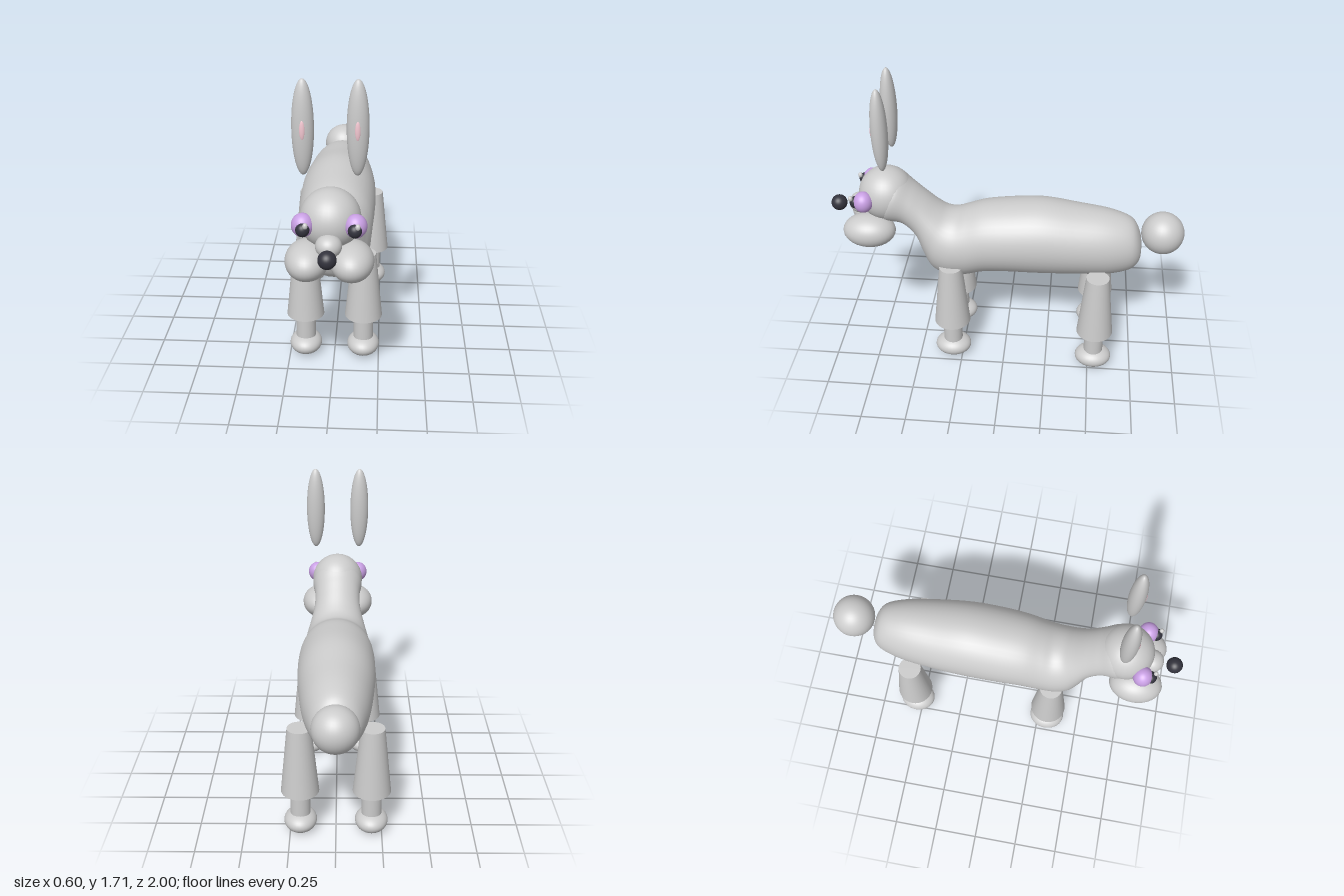
import * as THREE from 'three';

const mat = (color) => new THREE.MeshStandardMaterial({ color });
const grey = mat(0xcccccc);
const purple = mat(0xc9a0e4);
const black = mat(0x33333d);
const pink = mat(0xf4c8d2);

function add(parent, name, geometry, material, x, y, z) {
  const mesh = new THREE.Mesh(geometry, material);
  mesh.name = name;
  mesh.position.set(x, y, z);
  parent.add(mesh);
  return mesh;
}

function ellipsoid(parent, name, material, [x, y, z], [rx, ry, rz]) {
  const geometry = new THREE.SphereGeometry(1, 32, 24).scale(rx, ry, rz);
  return add(parent, name, geometry, material, x, y, z);
}

// Skin through elliptical sections: [topZ, topY, bottomZ, bottomY, halfWidth]
function loft(sections, steps, sides) {
  const top = new THREE.CatmullRomCurve3(sections.map((s) => new THREE.Vector3(s[4], s[1], s[0])));
  const bottom = new THREE.CatmullRomCurve3(sections.map((s) => new THREE.Vector3(0, s[3], s[2])));
  const positions = [];
  const index = [];
  for (let i = 0; i <= steps; i++) {
    const t = top.getPoint(i / steps);
    const b = bottom.getPoint(i / steps);
    for (let j = 0; j < sides; j++) {
      const a = (j / sides) * Math.PI * 2;
      const k = (1 + Math.cos(a)) / 2;
      positions.push(t.x * Math.sin(a), b.y + (t.y - b.y) * k, b.z + (t.z - b.z) * k);
      if (i === steps) continue;
      const p = i * sides + j;
      const q = i * sides + ((j + 1) % sides);
      index.push(p, p + sides, q, q, p + sides, q + sides);
    }
  }
  const geometry = new THREE.BufferGeometry();
  geometry.setAttribute('position', new THREE.Float32BufferAttribute(positions, 3));
  geometry.setIndex(index);
  geometry.computeVertexNormals();
  return geometry;
}

function makeLeg(name, x, z) {
  const leg = new THREE.Group();
  leg.name = name;
  leg.position.set(x, 0, z);
  add(leg, 'thigh', new THREE.CylinderGeometry(0.065, 0.104, 0.385, 32), grey, 0, 0.4425, 0);
  add(leg, 'shin', new THREE.CylinderGeometry(0.055, 0.055, 0.22, 32), grey, 0, 0.18, 0);
  ellipsoid(leg, 'foot', grey, [0, 0.061, 0], [0.09, 0.059, 0.105]);
  return leg;
}

export function createModel() {
  const model = new THREE.Group();
  model.name = 'longEaredAnimal';

  // Body, chest and neck in one smooth skin, ending inside the head
  const bodySections = [
    [-0.77, 0.735, -0.77, 0.73, 0.003],
    [-0.755, 0.82, -0.76, 0.65, 0.08],
    [-0.71, 0.9, -0.72, 0.6, 0.13],
    [-0.6, 0.945, -0.6, 0.565, 0.17],
    [-0.4, 0.975, -0.4, 0.56, 0.2],
    [-0.2, 1.0, -0.2, 0.555, 0.215],
    [0, 0.985, 0, 0.555, 0.215],
    [0.13, 0.965, 0.12, 0.545, 0.208],
    [0.22, 0.935, 0.25, 0.51, 0.2],
    [0.28, 0.915, 0.36, 0.515, 0.195],
    [0.33, 0.92, 0.43, 0.56, 0.185],
    [0.38, 0.95, 0.475, 0.65, 0.165],
    [0.46, 1.02, 0.515, 0.76, 0.14],
    [0.525, 1.08, 0.59, 0.84, 0.137],
    [0.595, 1.14, 0.7, 0.865, 0.149],
    [0.65, 1.1, 0.7, 0.93, 0.1],
  ];
  add(model, 'body', loft(bodySections, 90, 40), grey, 0, 0, 0);

  // Head, snout, nose and tail
  ellipsoid(model, 'head', grey, [0, 1.015, 0.675], [0.153, 0.155, 0.155]);
  ellipsoid(model, 'snout', grey, [0, 0.94, 0.83], [0.065, 0.058, 0.063]);
  ellipsoid(model, 'nose', black, [0, 0.93, 0.955], [0.045, 0.045, 0.045]);
  ellipsoid(model, 'tail', grey, [0, 0.83, -0.88], [0.12, 0.12, 0.12]);

  for (const [side, s] of [['left', 1], ['right', -1]]) {
    // Cheeks
    ellipsoid(model, side + 'Cheek', grey, [s * 0.11, 0.83, 0.765], [0.11, 0.095, 0.148]);

    // Eyes; both glints sit towards the same side
    ellipsoid(model, side + 'Eye', purple, [s * 0.128, 1.025, 0.78], [0.056, 0.06, 0.054]);
    ellipsoid(model, side + 'Pupil', black, [s * 0.125, 1.02, 0.825], [0.034, 0.035, 0.032]);
    ellipsoid(model, side + 'Glint', grey, [s * 0.125 + 0.015, 1.05, 0.847], [0.013, 0.016, 0.013]);

    // Ears
    ellipsoid(model, side + 'Ear', grey, [s * 0.131, 1.475, 0.655], [0.054, 0.24, 0.045]);
    ellipsoid(model, side + 'InnerEar', pink, [s * 0.131, 1.475, 0.695], [0.014, 0.052, 0.009]);

    // Legs
    model.add(makeLeg(side + 'FrontLeg', s * 0.162, 0.305));
    model.add(makeLeg(side + 'BackLeg', s * 0.194, -0.53));
  }
  return model;
}
